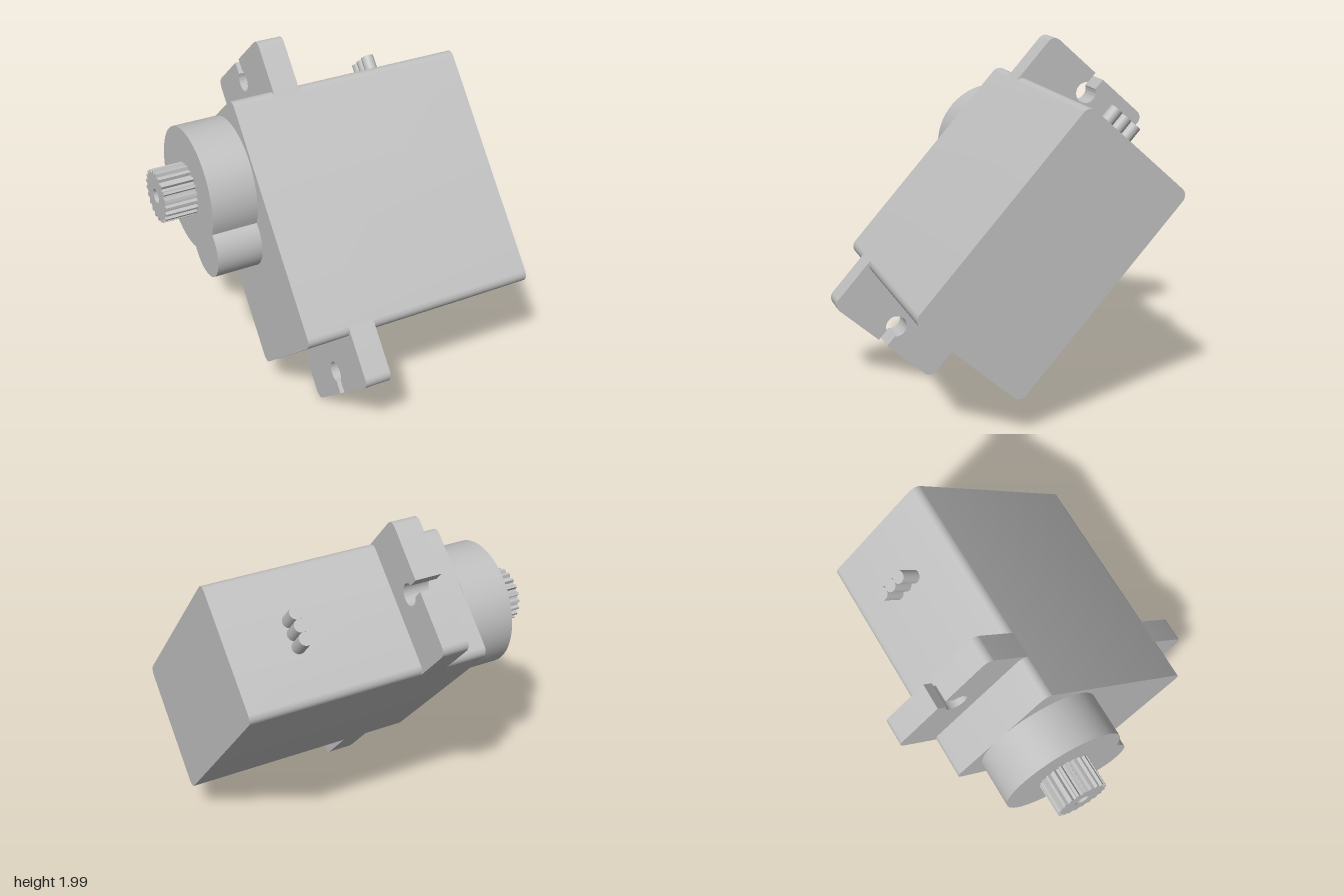
import * as THREE from 'three';
import { toCreasedNormals } from 'three/addons/utils/BufferGeometryUtils.js';

const HALF_W = 0.39, HALF_H = 0.715, EAR_END = 1.015, CORNER = 0.05;

export function createModel() {
  const grey = new THREE.MeshStandardMaterial({ color: 0xc0c0c0 });
  grey.name = 'light grey plastic';

  const model = new THREE.Group();
  model.name = 'servoMotor';
  const servo = new THREE.Group();
  servo.name = 'tiltedServo';
  servo.position.y = 1;
  servo.rotation.x = THREE.MathUtils.degToRad(-41.8);
  model.add(servo);

  // Extrudes a cross-section along x, from x0 to x1
  function slab(name, shape, x0, x1, crease = 0.6) {
    let geo = new THREE.ExtrudeGeometry(shape, { depth: x1 - x0, bevelEnabled: false, curveSegments: 24 });
    geo.rotateY(Math.PI / 2);
    geo.translate(x0, 0, 0);
    geo = toCreasedNormals(geo, crease);
    const mesh = new THREE.Mesh(geo, grey);
    mesh.name = name;
    servo.add(mesh);
    return mesh;
  }

  // Case with rounded long edges
  const w = HALF_W, h = HALF_H, r = CORNER;
  const body = new THREE.Shape();
  body.absarc(w - r, h - r, r, 0, Math.PI / 2);
  body.absarc(-w + r, h - r, r, Math.PI / 2, Math.PI);
  body.absarc(-w + r, -h + r, r, Math.PI, Math.PI * 1.5);
  body.absarc(w - r, -h + r, r, Math.PI * 1.5, Math.PI * 2);
  body.closePath();
  slab('case', body, -0.48, 0.935);

  // Mounting ears with keyhole slots
  const holeY = 0.89, holeR = 0.063, slot = 0.033;
  const a = Math.asin(slot / holeR);
  const ear = new THREE.Shape();
  ear.moveTo(-w, h - r);
  ear.lineTo(w, h - r);
  ear.absarc(w - r, EAR_END - r, r, 0, Math.PI / 2);
  ear.lineTo(slot, EAR_END);
  ear.absarc(0, holeY, holeR, Math.PI / 2 - a, Math.PI / 2 + a, true);
  ear.lineTo(-slot, EAR_END);
  ear.absarc(-w + r, EAR_END - r, r, Math.PI / 2, Math.PI);
  ear.closePath();
  slab('upperMountingEar', ear, -0.23, -0.075);
  slab('lowerMountingEar', ear, -0.23, -0.075).rotation.x = Math.PI;

  // Gear housing: a large and a small circle merged
  const bigY = 0.357, bigR = 0.362, smallY = 0.01, smallR = 0.18;
  const d = bigY - smallY;
  const meet = (d * d + smallR * smallR - bigR * bigR) / (2 * d);
  const side = Math.sqrt(smallR * smallR - meet * meet);
  const bigA = Math.atan2(meet - d, side), smallA = Math.atan2(meet, side);
  const housing = new THREE.Shape();
  housing.absarc(0, bigY, bigR, bigA, Math.PI - bigA);
  housing.absarc(0, smallY, smallR, Math.PI - smallA, Math.PI * 2 + smallA);
  housing.closePath();
  slab('gearHousing', housing, -0.75, -0.48);

  // Toothed output shaft with a screw hole
  const teeth = 21, spline = new THREE.Shape();
  for (let i = 0; i < teeth; i++) {
    [[-0.32, 0.136], [-0.16, 0.155], [0.16, 0.155], [0.32, 0.136]].forEach(([off, rad], k) => {
      const t = (i + off) / teeth * Math.PI * 2;
      const x = rad * Math.cos(t), y = bigY + rad * Math.sin(t);
      if (i + k === 0) spline.moveTo(x, y); else spline.lineTo(x, y);
    });
  }
  spline.closePath();
  const screwHole = new THREE.Path();
  screwHole.absarc(0, bigY, 0.042, 0, Math.PI * 2, true);
  spline.holes.push(screwHole);
  slab('outputShaft', spline, -0.94, -0.75, 0.4);

  // Three cable stubs
  for (const i of [-1, 0, 1]) {
    const wire = new THREE.Mesh(new THREE.CylinderGeometry(0.038, 0.038, 0.16, 24), grey);
    wire.name = 'cableStub';
    wire.position.set(0.55, 0.77, i * 0.074);
    servo.add(wire);
  }
  return model;
}
